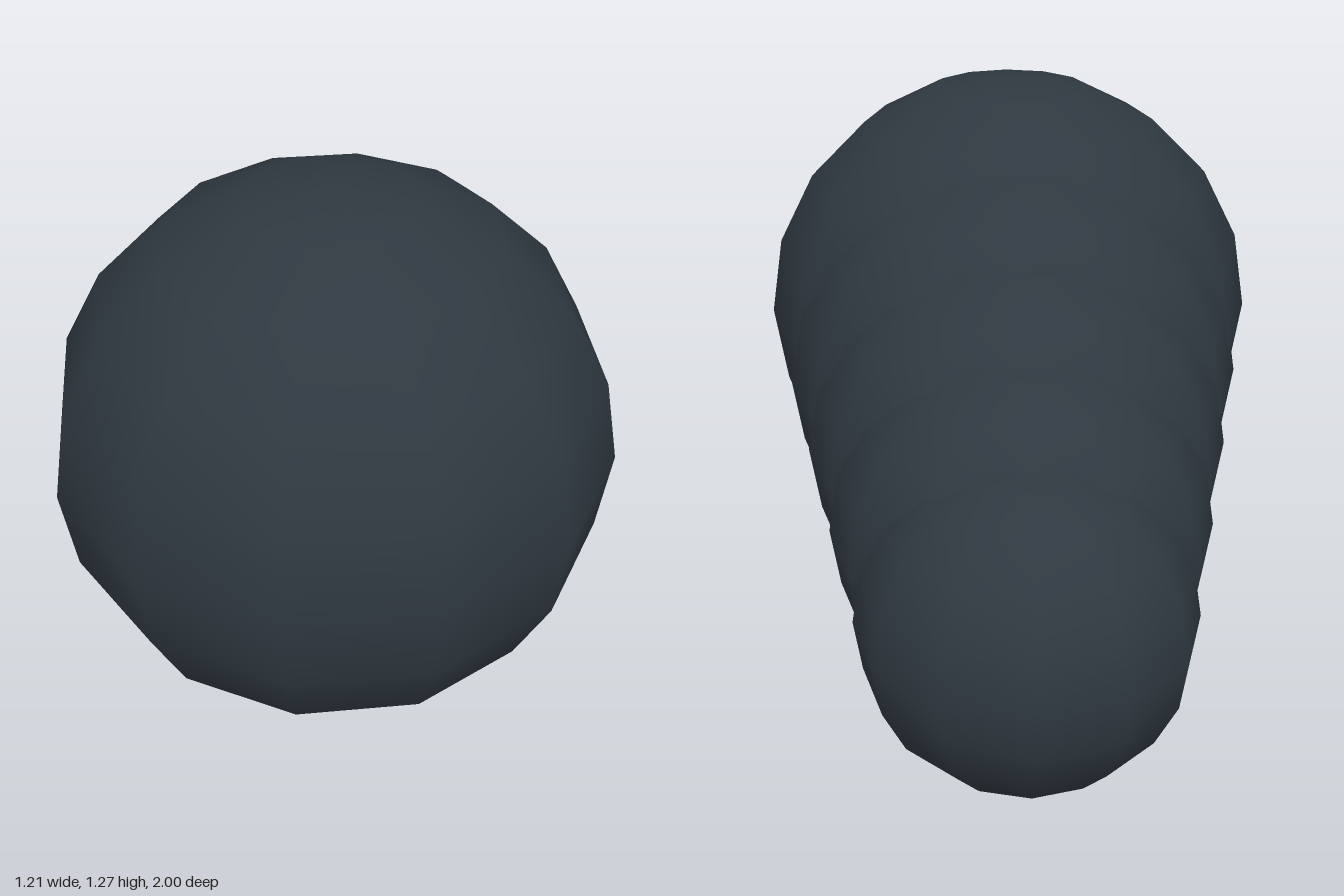
import * as THREE from 'three';

export function createModel() {
  const group = new THREE.Group();
  group.name = 'taperedBody';
  const slate = new THREE.MeshStandardMaterial({ color: 0x2f3840 });
  slate.name = 'darkSlate';

  // Overlapping spheres that shrink and sink from the front to the tail
  const names = ['head', 'bodySegment1', 'bodySegment2', 'bodySegment3', 'tail'];
  names.forEach((name, i) => {
    const t = i / (names.length - 1);
    const radius = THREE.MathUtils.lerp(0.605, 0.362, t);
    const segment = new THREE.Mesh(new THREE.SphereGeometry(radius, 12, 10), slate);
    segment.name = name;
    segment.position.set(0, THREE.MathUtils.lerp(0.67, 0.364, t), THREE.MathUtils.lerp(0.395, -0.638, t));
    group.add(segment);
  });
  return group;
}
